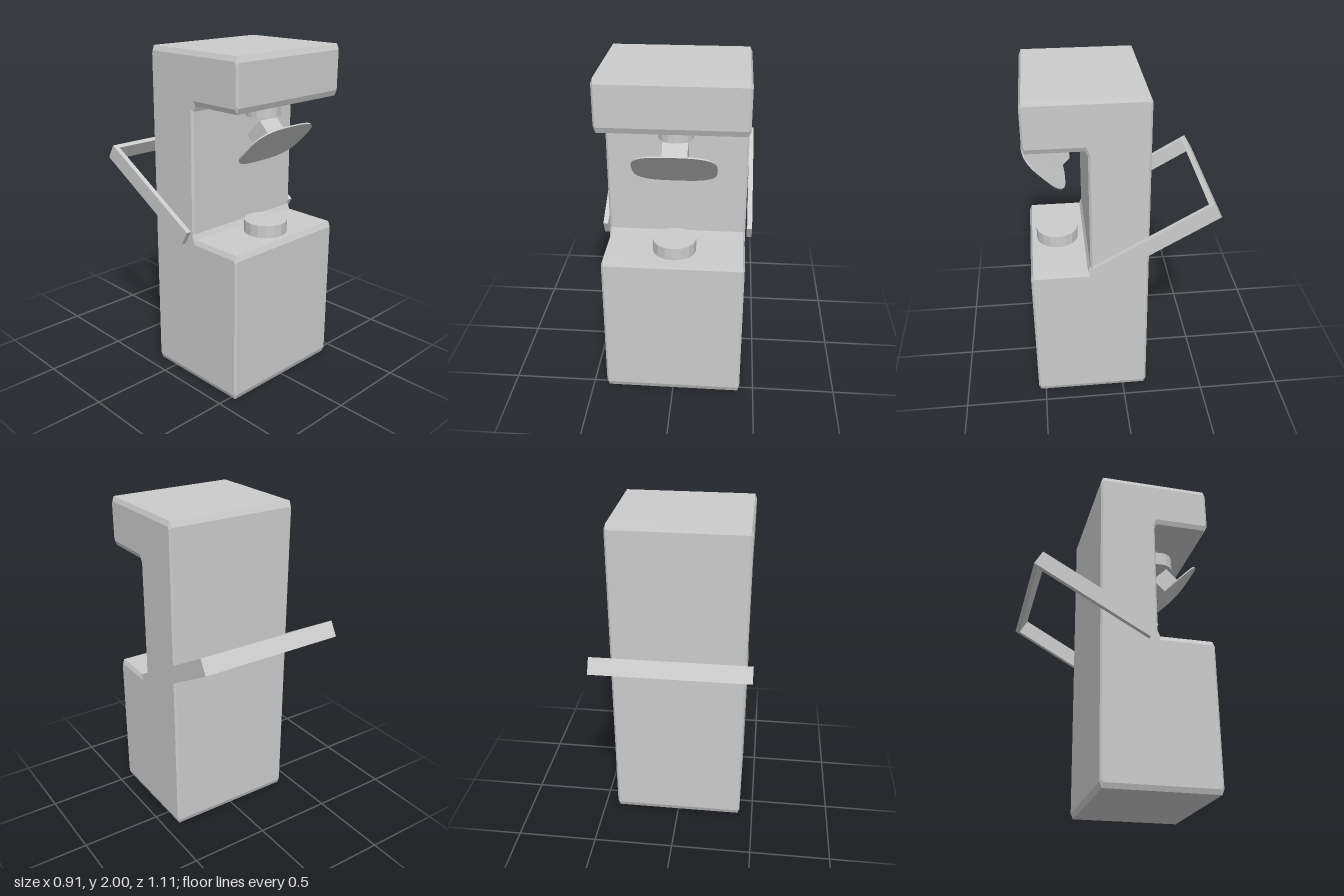
import * as THREE from 'three';

const grey = new THREE.MeshStandardMaterial({ color: 0xcccccc, flatShading: true });

function part(name, geometry, x = 0, y = 0, z = 0) {
  const mesh = new THREE.Mesh(geometry, grey);
  mesh.name = name;
  mesh.position.set(x, y, z);
  return mesh;
}

// Polygon whose corners are all cut back by c
function chamferedShape(corners, c) {
  const points = [];
  corners.forEach((p, i) => {
    const prev = corners[(i + corners.length - 1) % corners.length];
    const next = corners[(i + 1) % corners.length];
    for (const q of [prev, next]) {
      points.push(p.clone().add(q.clone().sub(p).setLength(c)));
    }
  });
  return new THREE.Shape(points);
}

// C-shaped body: side profile extruded across the width, chamfers stretched in y
function bodyGeometry() {
  const stretch = 2.4, bevel = 0.012, halfWidth = 0.415;
  const corners = [
    [-0.15, 0], [0.545, 0], [0.545, 0.915], [0.195, 0.915],
    [0.195, 1.7], [0.545, 1.7], [0.545, 2], [-0.15, 2],
  ].map(([z, y]) => new THREE.Vector2(z, y / stretch));
  const depth = 2 * (halfWidth - bevel);
  const geometry = new THREE.ExtrudeGeometry(chamferedShape(corners, 0.014), {
    depth, bevelEnabled: true, bevelSegments: 1,
    bevelThickness: bevel, bevelSize: bevel, bevelOffset: -bevel,
  });
  geometry.translate(0, 0, -depth / 2);
  geometry.rotateY(-Math.PI / 2);
  geometry.scale(1, stretch, 1);
  return geometry;
}

// Thin rounded plate with a superellipse outline
function plateGeometry(a, b, thickness) {
  const points = [];
  for (let i = 0; i < 48; i++) {
    const t = (i / 48) * Math.PI * 2;
    const c = Math.cos(t), s = Math.sin(t);
    points.push(new THREE.Vector2(
      a * Math.sign(c) * Math.abs(c) ** 0.64,
      b * Math.sign(s) * Math.abs(s) ** 0.64,
    ));
  }
  const geometry = new THREE.ExtrudeGeometry(new THREE.Shape(points), {
    depth: thickness, bevelEnabled: false,
  });
  return geometry.translate(0, 0, -thickness / 2);
}

export function createModel() {
  const model = new THREE.Group();
  model.name = 'machine';

  model.add(part('body', bodyGeometry()));
  model.add(part('upperNozzle', new THREE.CylinderGeometry(0.0985, 0.0985, 0.1, 16), 0.007, 1.66, 0.333));
  model.add(part('lowerPad', new THREE.CylinderGeometry(0.128, 0.128, 0.085, 16), 0, 0.9475, 0.373));

  // Tilted plate with a block on its back
  const head = new THREE.Group();
  head.name = 'tiltedHead';
  head.position.set(0.006, 1.462, 0.435);
  head.rotation.x = Math.PI / 4;
  head.add(part('plate', plateGeometry(0.238, 0.173, 0.008)));
  head.add(part('block', new THREE.BoxGeometry(0.142, 0.134, 0.134), 0, -0.0156, -0.0693));
  model.add(head);

  // U-shaped handle rising towards the back
  const length = 0.793, height = 0.098, bar = 0.03;
  const handle = new THREE.Group();
  handle.name = 'handle';
  handle.position.set(0, 1.12, -0.185);
  handle.rotation.x = 0.517;
  for (const side of [-1, 1]) {
    handle.add(part(side > 0 ? 'leftArm' : 'rightArm',
      new THREE.BoxGeometry(bar, height, length - bar), side * 0.4415, 0, bar / 2));
  }
  handle.add(part('crossbar', new THREE.BoxGeometry(0.913, height, bar), 0, 0, -(length - bar) / 2));
  model.add(handle);

  return model;
}
